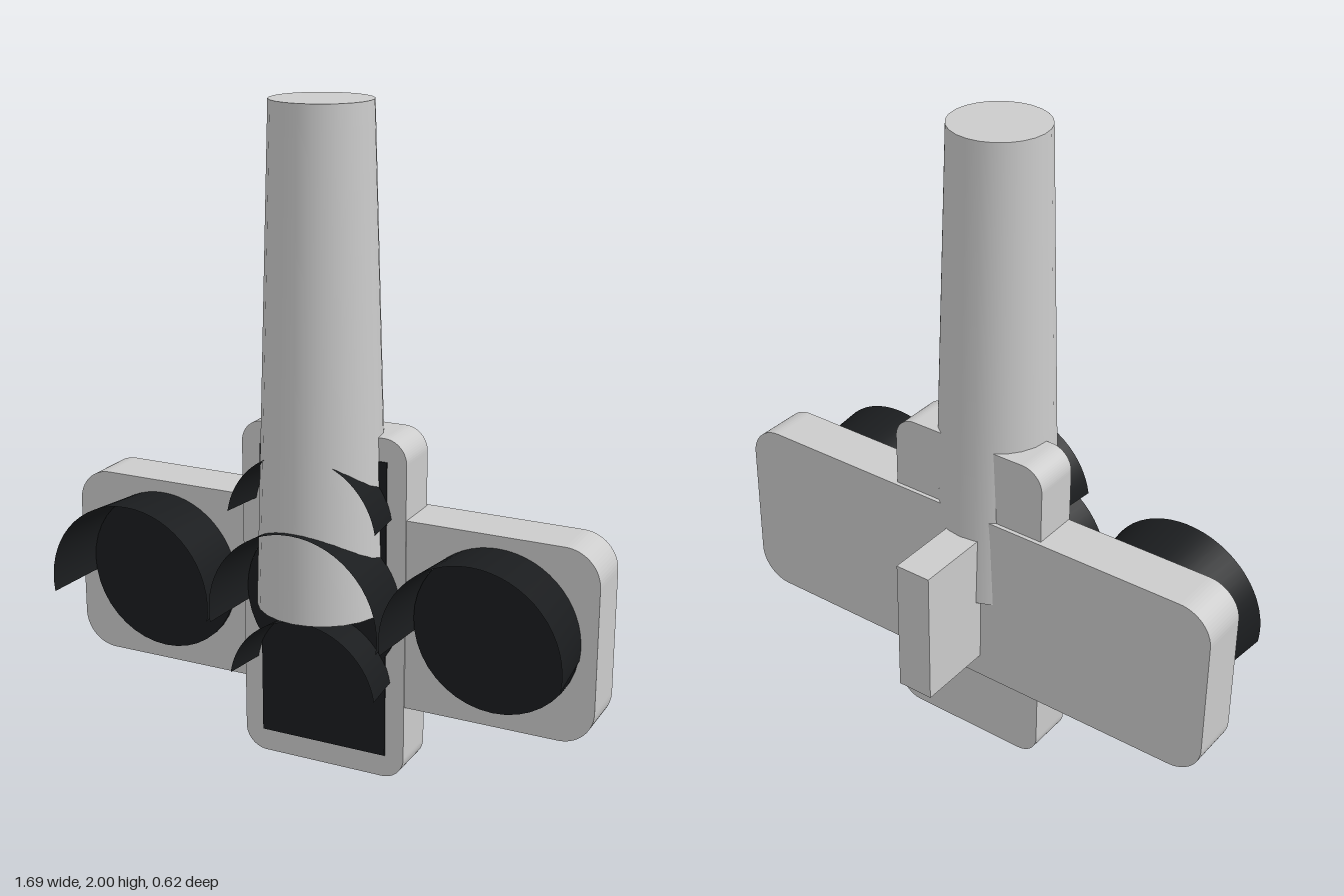
import * as THREE from 'three';

const grey = new THREE.MeshStandardMaterial({ color: 0xcccccc });
const black = new THREE.MeshStandardMaterial({ color: 0x1a1c1e });
const blackThin = new THREE.MeshStandardMaterial({ color: 0x1a1c1e, side: THREE.DoubleSide });

function part(name, geometry, material, x = 0, y = 0, z = 0) {
  const mesh = new THREE.Mesh(geometry, material);
  mesh.name = name;
  mesh.position.set(x, y, z);
  return mesh;
}

// Plate with rounded corners, extruded from zBack to zFront
function plate(name, w, h, r, y, zBack, zFront) {
  const a = w / 2, b = h / 2, s = new THREE.Shape();
  s.absarc(a - r, b - r, r, 0, Math.PI / 2);
  s.absarc(-a + r, b - r, r, Math.PI / 2, Math.PI);
  s.absarc(-a + r, -b + r, r, Math.PI, Math.PI * 1.5);
  s.absarc(a - r, -b + r, r, Math.PI * 1.5, Math.PI * 2);
  s.closePath();
  const g = new THREE.ExtrudeGeometry(s, { depth: zFront - zBack, bevelEnabled: false, curveSegments: 8 });
  return part(name, g, grey, 0, y, zBack);
}

// Open flared hood arching over a lamp, symmetric about its top
function visor(name, rFront, rBack, depth, arc, x, y) {
  const g = new THREE.CylinderGeometry(rFront, rBack, depth, 32, 1, true, Math.PI - arc / 2, arc);
  g.rotateX(Math.PI / 2);
  return part(name, g, blackThin, x, y, 0.1 + depth / 2);
}

export function createModel() {
  const model = new THREE.Group();

  // Crossed backing plates
  model.add(plate('horizontalPlate', 1.69, 0.585, 0.105, 0.53, -0.058, 0.1));
  model.add(plate('verticalPlate', 0.53, 1.06, 0.07, 0.53, -0.045, 0.104));

  // Round lamps in a row, each with a hood
  for (const x of [-0.545, 0, 0.545]) {
    const lens = new THREE.CylinderGeometry(0.25, 0.25, 0.02, 40).rotateX(Math.PI / 2);
    model.add(part('roundLens', lens, black, x, 0.535, 0.1));
    model.add(visor('roundVisor', 0.27, 0.252, 0.21, Math.PI * 1.1, x, 0.533));
  }

  // Square lamps above and below, each with a shorter hood
  for (const y of [0.275, 0.785]) {
    model.add(part('squareLens', new THREE.BoxGeometry(0.41, 0.41, 0.02), black, 0, y, 0.098));
    model.add(visor('squareVisor', 0.238, 0.222, 0.15, Math.PI * 0.9, 0, y));
  }

  // Tapered pole and rear mounting bracket
  model.add(part('pole', new THREE.CylinderGeometry(0.147, 0.194, 1.47, 24), grey, 0, 1.265, 0.104));
  model.add(part('rearBracket', new THREE.BoxGeometry(0.116, 0.44, 0.29), grey, 0, 0.533, -0.165));

  return model;
}
